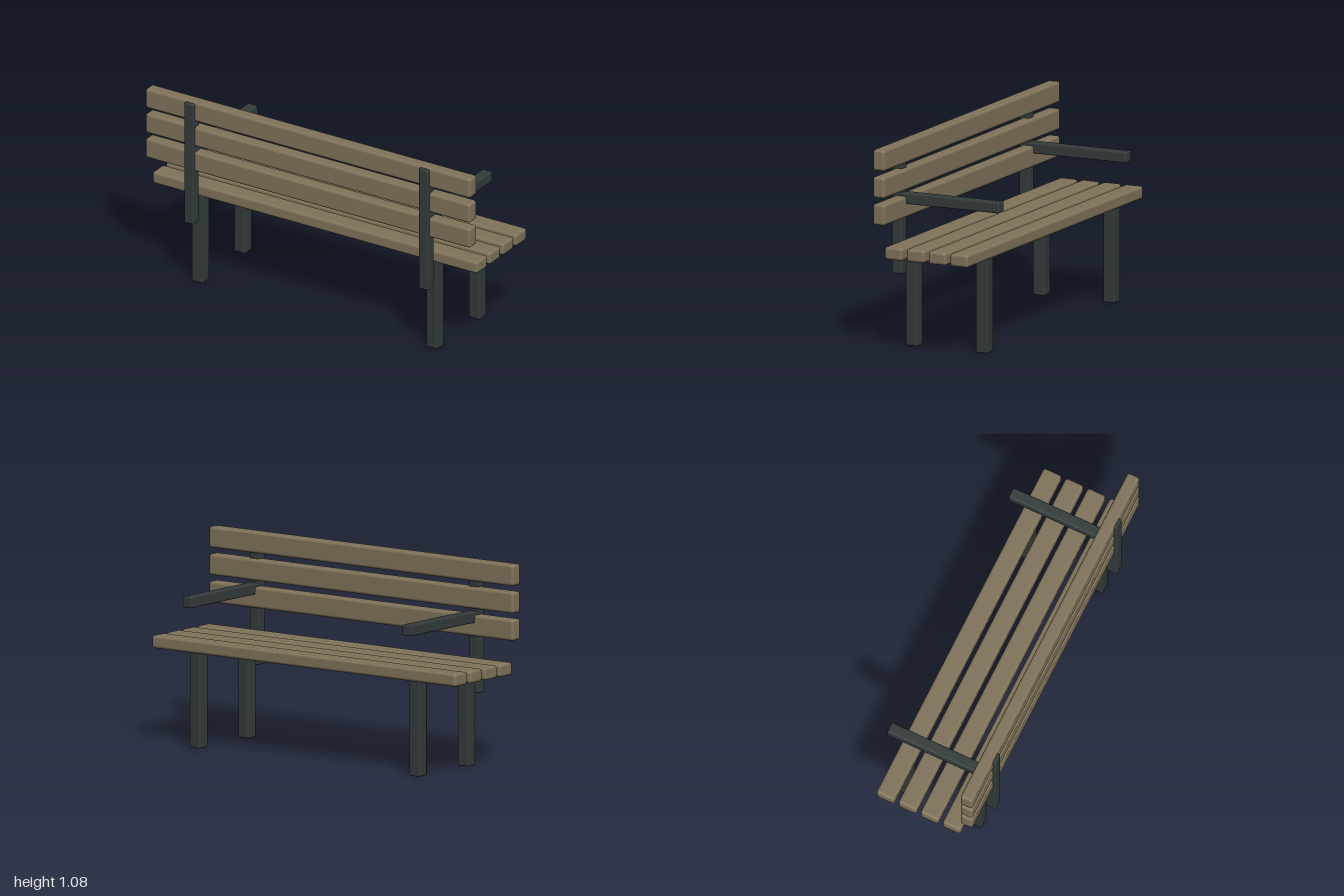
import * as THREE from 'three';
import { RoundedBoxGeometry } from 'three/addons/geometries/RoundedBoxGeometry.js';

export function createModel() {
  const bench = new THREE.Group();
  bench.name = 'bench';

  const wood = new THREE.MeshStandardMaterial({ color: 0x80735a });
  wood.name = 'weathered wood';
  const metal = new THREE.MeshStandardMaterial({ color: 0x333b3b });
  metal.name = 'dark metal';

  // Soft-edged bar given by its y and z ranges
  function bar(name, material, x, width, [y0, y1], [z0, z1], radius) {
    const geometry = new RoundedBoxGeometry(width, y1 - y0, z1 - z0, 2, radius);
    const mesh = new THREE.Mesh(geometry, material);
    mesh.name = name;
    mesh.position.set(x, (y0 + y1) / 2, (z0 + z1) / 2);
    bench.add(mesh);
  }

  // Four seat slats
  for (let i = 0; i < 4; i++) {
    const z = 0.177 - i * 0.1275;
    bar('seatSlat' + (i + 1), wood, 0, 2, [0.5, 0.568], [z - 0.052, z + 0.052], 0.015);
  }

  // Three back slats
  for (let i = 0; i < 3; i++) {
    const y = 0.733 + i * 0.1445;
    bar('backSlat' + (i + 1), wood, 0, 2, [y - 0.056, y + 0.056], [0.228, 0.298], 0.015);
  }

  // Mirrored metal frame: legs, back post and armrest on each side
  for (const [side, s] of [['left', 1], ['right', -1]]) {
    const x = s * 0.722;
    bar(side + 'SlatSideLeg', metal, x, 0.069, [0, 0.51], [0.162, 0.231], 0.008);
    bar(side + 'OpenSideLeg', metal, x, 0.069, [0, 0.51], [-0.249, -0.18], 0.008);
    bar(side + 'BackPost', metal, x, 0.059, [0.374, 1.07], [0.255, 0.314], 0.008);
    bar(side + 'Armrest', metal, x, 0.059, [0.749, 0.807], [-0.314, 0.27], 0.008);
  }

  return bench;
}
